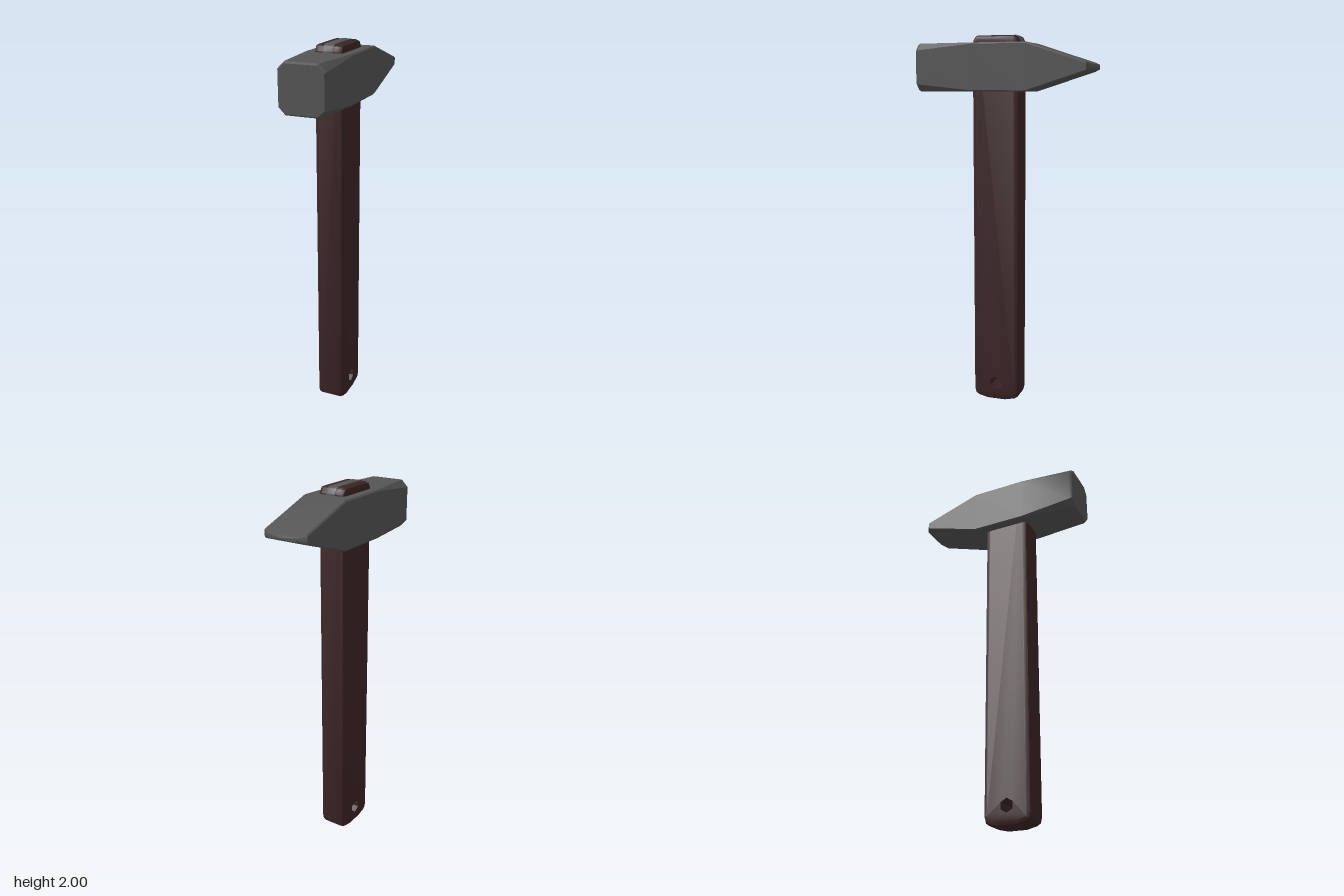
import * as THREE from 'three';
import { toCreasedNormals } from 'three/addons/utils/BufferGeometryUtils.js';

const MID_Y = 1.835; // height of the head's long axis
const HOLE = { z: 0.05, y: 0.1, r: 0.037 };

// Chamfered rectangle, counterclockwise seen from +z
function ring([z, hx, hy, c]) {
  return [
    [hx, -hy + c], [hx, hy - c], [hx - c, hy], [-hx + c, hy],
    [-hx, hy - c], [-hx, -hy + c], [-hx + c, -hy], [hx - c, -hy],
  ].map(([x, y]) => [x, y + MID_Y, z]);
}

// Skin over rings running from +z to -z, with pointed or flat caps
function loft(rings, frontZ, backZ) {
  const n = rings[0].length;
  const pos = rings.flat(2);
  const idx = [];
  for (let i = 0; i < rings.length - 1; i++) {
    for (let j = 0; j < n; j++) {
      const a = i * n + j, b = i * n + (j + 1) % n;
      idx.push(a, a + n, b, b, a + n, b + n);
    }
  }
  const front = rings.length * n, back = front + 1, last = (rings.length - 1) * n;
  pos.push(0, MID_Y, frontZ, 0, MID_Y, backZ);
  for (let j = 0; j < n; j++) {
    const k = (j + 1) % n;
    idx.push(front, j, k, back, last + k, last + j);
  }
  const geo = new THREE.BufferGeometry();
  geo.setAttribute('position', new THREE.Float32BufferAttribute(pos, 3));
  geo.setIndex(idx);
  return geo;
}

// Side outline in (z, y), extruded across x with softened edges
function sideExtrude(points, width, bevel, hole) {
  const shape = new THREE.Shape(points.map(([z, y]) => new THREE.Vector2(z, y)));
  if (hole) {
    const pts = [];
    for (let i = 0; i < 6; i++) {
      const a = Math.PI / 6 - i * Math.PI / 3;
      pts.push(new THREE.Vector2(hole.z + hole.r * Math.cos(a), hole.y + hole.r * Math.sin(a)));
    }
    shape.holes.push(new THREE.Path(pts));
  }
  const depth = width - 2 * bevel;
  const geo = new THREE.ExtrudeGeometry(shape, {
    depth, bevelEnabled: true, bevelSize: bevel, bevelThickness: bevel,
    bevelOffset: -bevel, bevelSegments: 2,
  });
  geo.translate(0, 0, -depth / 2);
  if (hole) {
    // Keep the bore straight: pull its bevelled rim back to the bore radius
    const p = geo.attributes.position;
    for (let i = 0; i < p.count; i++) {
      const dz = p.getX(i) - hole.z, dy = p.getY(i) - hole.y, d = Math.hypot(dz, dy);
      if (d < 0.07) p.setXY(i, hole.z + dz * hole.r / d, hole.y + dy * hole.r / d);
    }
  }
  geo.rotateY(-Math.PI / 2);
  return toCreasedNormals(geo, 0.6);
}

export function createModel() {
  const steel = new THREE.MeshStandardMaterial({ color: 0x555555 });
  steel.name = 'dark steel';
  const wood = new THREE.MeshStandardMaterial({ color: 0x3c2525 });
  wood.name = 'dark red wood';

  const group = new THREE.Group();
  group.name = 'hammer';
  const add = (name, geo, mat) => {
    const mesh = new THREE.Mesh(geo, mat);
    mesh.name = name;
    group.add(mesh);
  };

  // Head: square striking face, plain middle, flat tapered peen
  const sections = [ // z, half width, half height, corner cut
    [0.478, 0.117, 0.117, 0.034],
    [0.465, 0.124, 0.125, 0.036],
    [0.17, 0.126, 0.125, 0.007],
    [-0.13, 0.126, 0.125, 0.007],
    [-0.445, 0.123, 0.023, 0.006],
    [-0.475, 0.08, 0.012, 0.004],
  ];
  add('head', toCreasedNormals(loft(sections.map(ring), 0.478, -0.482), 0.5), steel);

  // Handle: flat bar passing through the head, drilled near its foot
  add('handle', sideExtrude([
    [0, 0], [0.1, 0], [0.155, 0.013], [0.172, 0.025], [0.18, 0.055],
    [0.178, 1.965], [0.165, 1.99], [0.15, 1.998],
    [-0.05, 1.998], [-0.065, 1.99], [-0.08, 1.965],
    [-0.08, 0.055], [-0.072, 0.025], [-0.055, 0.013],
  ], 0.152, 0.022, HOLE), wood);

  // Wedge: steel strip driven into the handle's top end
  add('wedge', sideExtrude([
    [-0.083, 1.9], [0.181, 1.9], [0.181, 1.967], [0.167, 1.992], [0.151, 2],
    [-0.051, 2], [-0.067, 1.992], [-0.083, 1.967],
  ], 0.052, 0.001), steel);

  return group;
}
